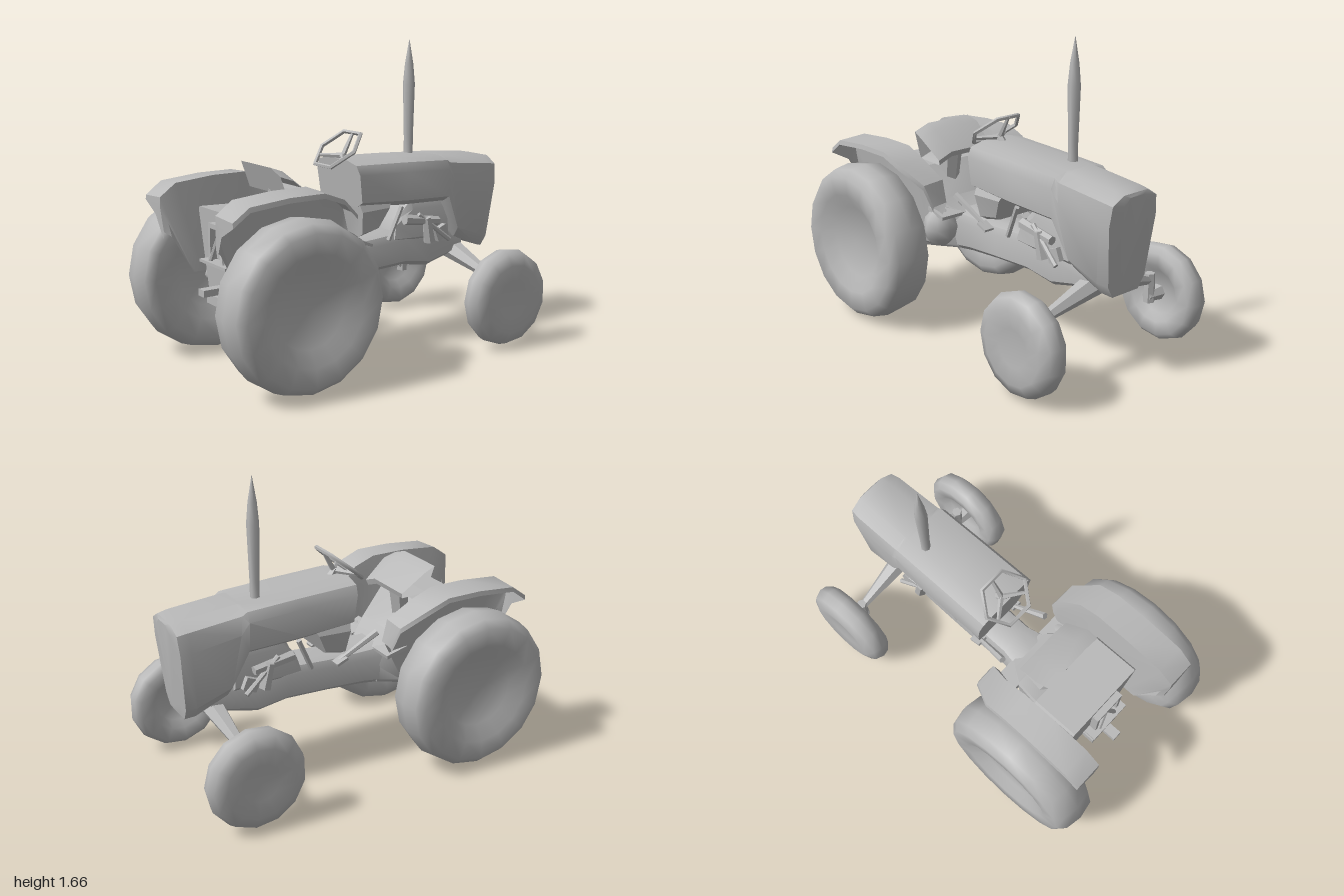
import * as THREE from 'three';
import { toCreasedNormals } from 'three/addons/utils/BufferGeometryUtils.js';

const grey = new THREE.MeshStandardMaterial({ color: 0xb8b8b8, side: THREE.DoubleSide });
grey.name = 'plain grey';

export function createModel() {
  const model = new THREE.Group();
  model.name = 'tractor';

  const add = (name, geo, crease = 0.7) => {
    const mesh = new THREE.Mesh(toCreasedNormals(geo, crease), grey);
    mesh.name = name;
    model.add(mesh);
    return mesh;
  };
  const box = (name, w, h, d, x, y, z, rx = 0) => {
    const m = add(name, new THREE.BoxGeometry(w, h, d));
    m.position.set(x, y, z);
    m.rotation.x = rx;
    return m;
  };
  // Tapered round bar between two points
  const rod = (name, a, b, r1, r2 = r1, sides = 6) => {
    const p = new THREE.Vector3(...a), q = new THREE.Vector3(...b);
    const m = add(name, new THREE.CylinderGeometry(r2, r1, p.distanceTo(q), sides), 0.9);
    m.position.copy(p).add(q).multiplyScalar(0.5);
    m.quaternion.setFromUnitVectors(new THREE.Vector3(0, 1, 0), q.sub(p).normalize());
    return m;
  };
  // Surface through rows of equal length
  const surface = (rows, closed) => {
    const n = rows[0].length, pos = rows.flat(2), idx = [];
    for (let i = 0; i < rows.length - 1; i++) {
      for (let j = 0; j < (closed ? n : n - 1); j++) {
        const k = (j + 1) % n, a = i * n + j, b = i * n + k;
        idx.push(a, b, b + n, a, b + n, a + n);
      }
    }
    if (closed) {
      const last = (rows.length - 1) * n;
      for (let j = 1; j < n - 1; j++) idx.push(0, j + 1, j, last, last + j, last + j + 1);
    }
    const g = new THREE.BufferGeometry();
    g.setAttribute('position', new THREE.Float32BufferAttribute(pos, 3));
    g.setIndex(idx);
    return g;
  };
  // Body loft; sections run back (+z) to nose: [zBottom, zTop, yBottom, yTop, halfBottom, halfTop]
  const round = [[0.75, 0], [1, 0.12], [1, 0.72], [0.86, 0.92], [0.45, 1]];
  const square = [[0.9, 0], [1, 0.08], [1, 0.5], [1, 0.97], [0.95, 1]];
  const loft = (name, sections, half = round) => {
    const ring = [...half, ...half.map(([u, v]) => [-u, v]).reverse()];
    add(name, surface(sections.reverse().map(([zb, zt, yb, yt, wb, wt]) =>
      ring.map(([u, v]) => [u * (wb + (wt - wb) * v), yb + (yt - yb) * v, zb + (zt - zb) * v])), true), 0.6);
  };

  // Hood running into the deep nose
  loft('hood', [
    [0.0, 0.03, 0.81, 1.055, 0.19, 0.2],
    [-0.3, -0.3, 0.79, 1.045, 0.19, 0.197],
    [-0.6, -0.6, 0.78, 1.03, 0.185, 0.195],
    [-0.7, -0.62, 0.56, 1.03, 0.155, 0.195],
    [-0.88, -0.92, 0.485, 1.005, 0.15, 0.19],
    [-0.93, -0.975, 0.47, 0.995, 0.12, 0.18],
    [-0.935, -0.985, 0.49, 0.98, 0.06, 0.1],
  ]);
  loft('dashSupport', [
    [-0.03, 0.0, 0.64, 0.84, 0.15, 0.19],
    [-0.13, -0.22, 0.66, 0.84, 0.14, 0.185],
  ]);

  // Engine, gearbox and rear housing
  loft('gearbox', [
    [0.45, 0.4, 0.38, 0.66, 0.16, 0.18],
    [0.12, 0.1, 0.41, 0.62, 0.11, 0.11],
    [-0.1, -0.1, 0.43, 0.62, 0.12, 0.11],
    [-0.35, -0.35, 0.44, 0.64, 0.12, 0.12],
    [-0.52, -0.54, 0.41, 0.62, 0.11, 0.12],
    [-0.78, -0.78, 0.47, 0.6, 0.09, 0.09],
  ]);
  loft('engineBlock', [
    [-0.27, -0.3, 0.58, 0.7, 0.12, 0.1],
    [-0.4, -0.4, 0.56, 0.82, 0.13, 0.11],
    [-0.66, -0.64, 0.55, 0.82, 0.12, 0.11],
  ]);
  loft('rearHousing', [
    [0.7, 0.73, 0.36, 0.84, 0.2, 0.25],
    [0.5, 0.46, 0.37, 0.83, 0.21, 0.25],
    [0.32, 0.3, 0.4, 0.68, 0.18, 0.2],
    [0.2, 0.18, 0.41, 0.62, 0.12, 0.11],
  ], square);

  // Exhaust stack with a pointed tip
  const stack = add('exhaust', new THREE.LatheGeometry([[0, 1.0], [0.026, 1.0], [0.026, 1.12], [0.034, 1.42],
    [0.024, 1.53], [0, 1.67]].map(p => new THREE.Vector2(...p)), 7), 1);
  stack.position.set(-0.055, 0, -0.5);

  // Steering wheel tilted toward the seat
  const steering = new THREE.Group();
  steering.name = 'steeringWheel';
  steering.position.set(0, 1.105, 0.025);
  steering.rotation.x = -0.877;
  const rim = add('steeringRim', new THREE.TorusGeometry(0.145, 0.012, 5, 6), 1);
  steering.add(rim);
  for (let i = 0; i < 3; i++) {
    const a = Math.PI / 2 + i * Math.PI * 2 / 3;
    steering.add(rod('steeringSpoke', [0, 0, -0.05], [Math.cos(a) * 0.13, Math.sin(a) * 0.13, 0], 0.016, 0.009, 5));
  }
  model.add(steering);
  rod('steeringColumn', [0, 0.98, -0.07], [0, 1.075, 0.0], 0.035, 0.02);

  // Seat: tilted pan with a raised back
  add('seat', surface([[0.5, 1.06, 0.19], [0.43, 1.035, 0.2], [0.3, 0.935, 0.18], [0.31, 0.905, 0.17], [0.45, 0.92, 0.19],
    [0.5, 1.06, 0.19]].map(([z, y, w]) => [-w, -w * 0.5, w * 0.5, w].map((x, i) =>
    [x - 0.01, y - (i === 3 ? 0.035 : 0), z]))), 0.6);
  rod('seatPost', [0, 0.74, 0.42], [0, 0.93, 0.4], 0.05, 0.06);

  // Rear frame and hitch
  box('rearFrameTop', 0.19, 0.025, 0.04, 0.01, 0.77, 0.745);
  box('rearShelf', 0.26, 0.015, 0.07, 0.0, 0.585, 0.76);
  for (const x of [-0.08, 0.09]) box('rearFramePost', 0.02, 0.2, 0.04, x, 0.68, 0.745);
  for (const s of [-1, 1]) rod('rearBrace', [s * 0.06, 0.59, 0.77], [0, 0.74, 0.75], 0.012);
  box('hitchBlock', 0.2, 0.05, 0.09, 0, 0.39, 0.73);
  box('drawbar', 0.055, 0.035, 0.16, 0, 0.45, 0.78);

  // Rounded tank on the left side of the gearbox
  const tank = new THREE.SphereGeometry(1, 8, 6);
  tank.scale(0.1, 0.11, 0.09);
  add('sideTank', tank, 1).position.set(0.2, 0.54, 0.26);

  // Wheel profiles: [radius, offset along axle], inside to outside
  const wheel = (name, pts, sides, x, y, z) => {
    const g = new THREE.LatheGeometry(pts.map(p => new THREE.Vector2(...p)), sides);
    g.rotateZ(-Math.PI / 2);
    const m = add(name, g, 1.1);
    m.position.set(x, y, z);
    m.rotation.y = x < 0 ? Math.PI : 0;
  };
  const rearTyre = [[0, -0.05], [0.2, -0.06], [0.27, -0.11], [0.37, -0.13], [0.42, -0.1],
    [0.437, 0], [0.42, 0.09], [0.38, 0.13], [0.28, 0.125], [0.2, 0.075], [0, 0.07]];
  const frontTyre = [[0, -0.02], [0.12, -0.03], [0.16, -0.065], [0.23, -0.07], [0.26, -0.04],
    [0.268, 0.0], [0.25, 0.05], [0.19, 0.075], [0.1, 0.065], [0, 0.06]];

  for (const s of [-1, 1]) {
    wheel('rearWheel', rearTyre, 16, s * 0.47, 0.445, 0.57);
    wheel('frontWheel', frontTyre, 13, s * 0.5, 0.285, -0.74);

    // Axles
    rod('rearAxle', [s * 0.15, 0.41, 0.57], [s * 0.42, 0.42, 0.57], 0.04, 0.04, 8);
    rod('rearLink', [s * 0.14, 0.36, 0.66], [s * 0.36, 0.42, 0.58], 0.025, 0.035);
    box('linkFoot', 0.14, 0.025, 0.1, s * 0.2, 0.355, 0.64);
    rod('frontAxle', [0, 0.48, -0.75], [s * 0.4, 0.37, -0.74], 0.065, 0.022);
    rod('kingpin', [s * 0.4, 0.25, -0.74], [s * 0.4, 0.41, -0.74], 0.032, 0.028);
    rod('frontHub', [s * 0.38, 0.285, -0.74], [s * 0.49, 0.285, -0.74], 0.03, 0.045);

    // Fender along an arch of [z, y, outer x, inner x]: outer lip, top fold and inner panel
    const arch = [[0.92, 0.72, 0.28, 0.27], [0.93, 0.84, 0.34, 0.285], [0.93, 0.9, 0.45, 0.285],
      [0.84, 0.965, 0.455, 0.285], [0.62, 0.985, 0.455, 0.285], [0.42, 0.985, 0.455, 0.285],
      [0.3, 0.94, 0.45, 0.285], [0.17, 0.84, 0.38, 0.25], [0.14, 0.72, 0.34, 0.25]];
    add('fender', surface(arch.map(([z, y, outer, inner]) => [
      [s * outer, y - 0.035, z], [s * (outer - 0.005), y - 0.01, z], [s * inner, y, z],
      [s * (inner - 0.02), 0.3 + y * 0.55, 0.5 + (z - 0.5) * 0.92],
      [s * 0.225, 0.5, 0.5 + (z - 0.5) * 0.65]])), 0.6);

    // Footboards and pedals
    box('footboard', 0.14, 0.02, 0.13, s * 0.18, 0.63, 0.24, -0.25);
    rod('pedalArm', [s * 0.17, 0.74, 0.16], [s * 0.13, 0.6, -0.06], 0.02, 0.012);
    box('pedal', 0.06, 0.015, 0.07, s * 0.14, 0.61, -0.05, -0.4);

    // Engine side fittings
    rod('manifold', [s * 0.13, 0.7, -0.33], [s * 0.14, 0.67, -0.56], 0.03, 0.025);
    rod('filter', [s * 0.14, 0.56, -0.5], [s * 0.15, 0.7, -0.47], 0.035, 0.025);
    rod('pipe', [s * 0.13, 0.6, -0.22], [s * 0.14, 0.78, -0.3], 0.014);
    rod('fuelLine', [s * 0.14, 0.72, -0.42], [s * 0.17, 0.56, -0.62], 0.014);
    box('sideBracket', 0.03, 0.07, 0.08, s * 0.14, 0.6, -0.58, 0.4);
  }
  return model;
}
